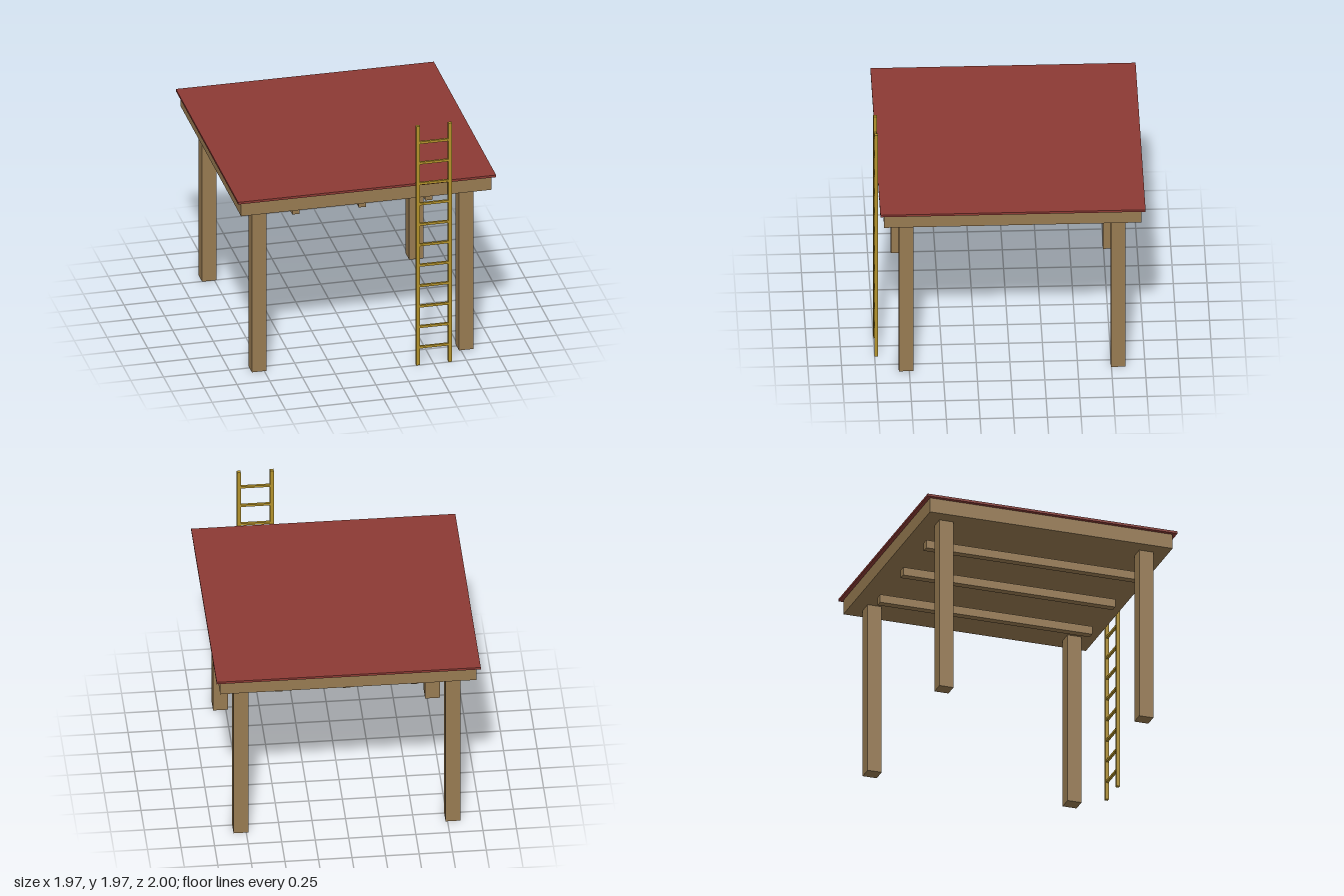
import * as THREE from 'three';

export function createModel() {
  const model = new THREE.Group();
  model.name = 'platformWithLadder';

  const material = (name, color) => {
    const m = new THREE.MeshStandardMaterial({ color });
    m.name = name;
    return m;
  };
  const wood = material('brown wood', 0x977a51);
  const red = material('red covering', 0x8c3a34);
  const gold = material('golden ladder', 0xb3922b);

  // Box given by its lower and upper corners
  const box = (parent, name, mat, [x0, y0, z0], [x1, y1, z1]) => {
    const mesh = new THREE.Mesh(new THREE.BoxGeometry(x1 - x0, y1 - y0, z1 - z0), mat);
    mesh.position.set((x0 + x1) / 2, (y0 + y1) / 2, (z0 + z1) / 2);
    mesh.name = name;
    parent.add(mesh);
  };

  const midZ = -0.014; // the table sits slightly behind centre to make room for the ladder

  // Deck and its overhanging covering
  box(model, 'deck', wood, [-0.955, 1.355, midZ - 0.955], [0.955, 1.469, midZ + 0.955]);
  box(model, 'covering', red, [-0.984, 1.469, midZ - 0.984], [0.984, 1.487, midZ + 0.984]);

  // Four square posts
  for (const x of [-0.79, 0.79]) {
    for (const z of [midZ - 0.787, midZ + 0.787]) {
      box(model, 'post', wood, [x - 0.055, 0, z - 0.055], [x + 0.055, 1.355, z + 0.055]);
    }
  }

  // Three joists under the deck
  for (const x of [-0.507, 0, 0.507]) {
    box(model, 'joist', wood, [x - 0.028, 1.264, midZ - 0.835], [x + 0.028, 1.328, midZ + 0.835]);
  }

  // Ladder at the front
  const ladder = new THREE.Group();
  ladder.name = 'ladder';
  model.add(ladder);
  for (const x of [0.382, 0.628]) {
    box(ladder, 'rail', gold, [x - 0.014, 0, 0.974], [x + 0.014, 1.97, 1]);
  }
  for (let i = 0; i < 11; i++) {
    const y = 0.143 + i * 0.1688;
    box(ladder, 'rung', gold, [0.39, y - 0.009, 0.978], [0.62, y + 0.009, 0.996]);
  }

  return model;
}
